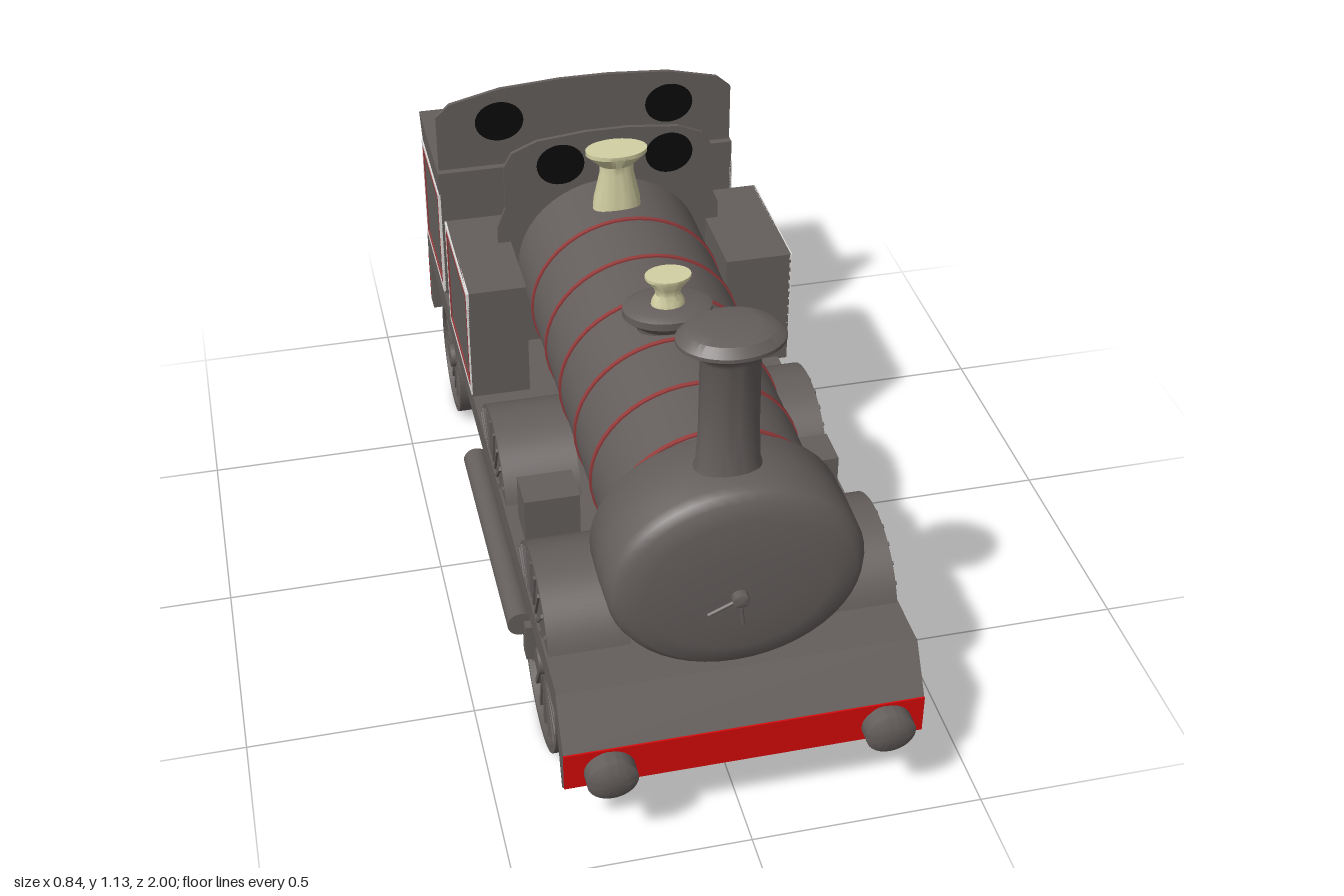
import * as THREE from 'three';
import { mergeGeometries, toCreasedNormals } from 'three/addons/utils/BufferGeometryUtils.js';

const flat = (name, color, side = THREE.FrontSide) => {
  const m = new THREE.MeshStandardMaterial({ color, side });
  m.name = name;
  return m;
};

export function createModel() {
  const grey = flat('warm grey', 0x645e5c);
  const red = flat('beam red', 0xd40b0b);
  const cream = flat('cream', 0xd2cfa2);
  const white = flat('white lining', 0xe2e0de);
  const lining = flat('dull red lining', 0x963c3c);
  const black = flat('window black', 0x0a0a0a, THREE.DoubleSide);

  const model = new THREE.Group();
  const add = (name, geo, mat = grey, x = 0, y = 0, z = 0) => {
    const mesh = new THREE.Mesh(geo, mat);
    mesh.name = name;
    mesh.position.set(x, y, z);
    model.add(mesh);
    return mesh;
  };
  // box from minimum and maximum corners
  const box = (name, x0, x1, y0, y1, z0, z1, mat) =>
    add(name, new THREE.BoxGeometry(x1 - x0, y1 - y0, z1 - z0), mat, (x0 + x1) / 2, (y0 + y1) / 2, (z0 + z1) / 2);
  // turned part from [radius, height] pairs, widened across x
  const turned = (pts, sx = 1, segs = 40) => toCreasedNormals(
    new THREE.LatheGeometry(pts.map(p => new THREE.Vector2(p[0], p[1])), segs).scale(sx, 1, 1), 0.6);
  const turnedZ = (pts, sx) => turned(pts, 1, 48).rotateX(Math.PI / 2).scale(sx, 1, 1);
  const poly = pts => new THREE.Shape(pts.map(p => new THREE.Vector2(p[0], p[1])));
  // shape drawn in (z, y), extruded from x0 to x1
  const extrudeX = (shape, x0, x1) => toCreasedNormals(
    new THREE.ExtrudeGeometry(shape, { depth: x1 - x0, bevelEnabled: false, curveSegments: 24 })
      .rotateY(-Math.PI / 2).translate(x1, 0, 0), 0.5);
  const rect = (a, b, c, d) => [[a, c], [b, c], [b, d], [a, d]];

  // boiler, bands and smokebox
  const axisY = 0.587;
  add('boiler', turnedZ([[0, -0.38], [0.213, -0.38], [0.213, 0.7], [0, 0.7]], 1.05), grey, 0, axisY);
  for (const z of [-0.183, -0.018, 0.148, 0.315, 0.48, 0.645])
    add('boilerBand', turnedZ([[0.211, z - 0.005], [0.217, z - 0.005], [0.217, z + 0.005], [0.211, z + 0.005]], 1.05),
      lining, 0, axisY);
  add('smokebox', turnedZ([[0, 0.66], [0.212, 0.66], [0.221, 0.675], [0.223, 0.76], [0.222, 0.835], [0.215, 0.853],
    [0.2, 0.866], [0.16, 0.875], [0.08, 0.88], [0, 0.881]], 1.19), grey, -0.005, 0.59);
  add('doorHub', turnedZ([[0, 0.87], [0.015, 0.87], [0.015, 0.9], [0, 0.905]], 1.15), grey, -0.01, 0.57);
  for (const [dx, dy] of [[-0.066, -0.03], [0.006, -0.066]]) {
    const path = new THREE.LineCurve3(new THREE.Vector3(0, 0, 0), new THREE.Vector3(dx, dy, 0));
    add('doorHandle', new THREE.TubeGeometry(path, 1, 0.004, 6), grey, -0.01, 0.57, 0.89);
  }

  // chimney, dome and valves
  add('chimney', turned([[0.062, 0.77], [0.05, 0.82], [0.047, 0.9], [0.046, 1.06], [0.052, 1.075], [0.083, 1.1],
    [0.083, 1.108], [0.068, 1.125], [0.045, 1.13], [0, 1.13]], 1.29), grey, -0.007, 0, 0.757);
  add('dome', turned([[0.05, 0.78], [0.052, 0.8], [0.075, 0.825], [0.075, 0.842], [0.06, 0.85], [0, 0.85]], 1.3),
    grey, -0.005, 0, 0.243);
  add('domeWhistle', turned([[0.028, 0.845], [0.026, 0.86], [0.02, 0.875], [0.022, 0.89], [0.037, 0.915],
    [0.037, 0.922], [0, 0.922]], 1.35), cream, -0.005, 0, 0.247);
  add('safetyValve', turned([[0.036, 0.78], [0.034, 0.82], [0.025, 0.885], [0.025, 0.905], [0.045, 0.935],
    [0.045, 0.945], [0, 0.945]], 1.6), cream, -0.005, 0, -0.263);

  // footplate and underframe
  box('footplate', -0.378, 0.375, 0.305, 0.366, -0.935, 0.865);
  box('underframe', -0.29, 0.29, 0.15, 0.306, -0.84, 0.03);
  box('ashpan', -0.095, 0.135, 0.12, 0.151, -0.1, 0.1);
  add('frontApron', extrudeX(poly([[0.865, 0.366], [0.86, 0.31], [0.912, 0.155], [0.933, 0.175], [0.933, 0.265]]),
    -0.38, 0.377));
  box('frontBeam', -0.38, 0.377, 0.175, 0.265, 0.931, 0.937, red);
  box('rearBeam', -0.378, 0.375, 0.155, 0.306, -0.937, -0.89);
  box('rearBeamFace', -0.378, 0.375, 0.158, 0.303, -0.942, -0.936, red);
  for (const x of [-0.29, 0.29]) {
    add('frontBuffer', turnedZ([[0.03, 0.925], [0.03, 0.95], [0.048, 0.955], [0.048, 0.988], [0.03, 0.998], [0, 1]], 1.1),
      grey, x, 0.23);
    add('rearBuffer', turnedZ([[0, -1], [0.03, -0.998], [0.042, -0.99], [0.042, -0.97], [0.028, -0.965], [0.028, -0.93]], 1.15),
      grey, x, 0.22);
  }

  // spoked wheels
  const spokes = (n, from, to, width, depth, a0, step) => mergeGeometries(Array.from({ length: n }, (_, i) =>
    new THREE.BoxGeometry(depth, to - from, width).translate(0, (from + to) / 2, 0).rotateX(a0 + i * step)));
  const wheel = (name, side, r, z, n) => {
    const ring = new THREE.Shape().absarc(0, 0, r, 0, Math.PI * 2);
    ring.holes.push(new THREE.Path().absarc(0, 0, r - 0.014, 0, Math.PI * 2, true));
    const cx = side * 0.328, face = side * 0.345;
    add(name + 'Rim', extrudeX(ring, -0.038, 0.038), grey, cx, r + 0.003, z);
    add(name + 'Spokes', spokes(n, 0.015, r - 0.008, 0.011, 0.026, 0, Math.PI * 2 / n), grey, face, r + 0.003, z);
    add(name + 'Hub', new THREE.CylinderGeometry(0.03, 0.03, 0.05, 20).rotateZ(Math.PI / 2), grey, face, r + 0.003, z);
  };
  for (const s of [-1, 1]) {
    for (const z of [0.583, 0.083]) {
      wheel('drivingWheel', s, 0.198, z, 22);
      // splasher: circular segment above the footplate, with ribs on its face
      const a = Math.asin(0.06 / 0.18);
      const arch = new THREE.Shape().absarc(z, 0.305, 0.18, a, Math.PI - a);
      add('splasher', extrudeX(arch, s > 0 ? 0.2 : -0.372, s > 0 ? 0.372 : -0.2));
      add('splasherRibs', spokes(9, 0.08, 0.172, 0.008, 0.006, -1, 0.25), grey, s * 0.374, 0.305, z);
    }
    wheel('trailingWheel', s, 0.148, -0.662, 22);
    const [x0, x1] = s > 0 ? [0.23, 0.352] : [-0.352, -0.23];
    box('sandBox', x0, x1, 0.36, 0.475, 0.293, 0.385);
  }
  // coupling rods, set a quarter turn apart
  for (const [x, y, z] of [[0.388, 0.15, 0.328], [-0.394, 0.273, 0.243]])
    add('couplingRod', new THREE.CylinderGeometry(0.029, 0.029, 0.595, 20).rotateX(Math.PI / 2), grey, x, y, z);
  for (const z of [0.583, 0.083]) {
    box('crank', 0.35, 0.385, 0.14, 0.215, z - 0.018, z + 0.018);
    box('crank', -0.388, -0.35, 0.19, 0.28, z - 0.055, z - 0.02);
  }

  // side tanks and bunker
  box('leftTank', 0.24, 0.397, 0.36, 0.657, -0.504, -0.172);
  box('rightTank', -0.378, -0.24, 0.36, 0.657, -0.504, -0.172);
  add('bunker', extrudeX(poly([[-0.632, 0.36], [-0.632, 0.715], [-0.965, 0.715], [-0.925, 0.66], [-0.925, 0.36]]), -0.375, 0.372));

  // white and red lining frames on the panels
  const frame = (z0, z1, y0, y1, inset, w) => {
    const f = (i) => rect(z0 + i, z1 - i, y0 + i, y1 - i);
    const shape = poly(f(inset));
    shape.holes.push(poly(f(inset + w).reverse()));
    return shape;
  };
  for (const [z0, z1, right, left] of [[-0.504, -0.172, -0.378, 0.397], [-0.924, -0.632, -0.375, 0.372]])
    for (const x of [right, left]) {
      add('whiteLining', extrudeX(frame(z0, z1, 0.372, 0.657, 0, 0.011), x - 0.003, x + 0.003), white);
      add('redLining', extrudeX(frame(z0, z1, 0.372, 0.657, 0.015, 0.009), x - 0.003, x + 0.003), lining);
    }

  // cab plates with round windows
  const plate = (name, half, z, windows, rx, wy) => {
    const pts = [...half, ...half.slice().reverse().map(([x, y]) => [-x, y])];
    add(name, new THREE.ExtrudeGeometry(poly(pts), { depth: 0.01, bevelEnabled: false }), grey, 0, 0, z - 0.005);
    for (const x of windows)
      add('cabWindow', new THREE.CylinderGeometry(1, 1, 0.016, 32).rotateX(Math.PI / 2).scale(rx, 0.052, 1), black, x, wy, z);
  };
  plate('frontCabPlate', [[0.27, 0.366], [0.27, 0.7], [0.25, 0.75], [0.25, 0.86], [0.23, 0.895], [0.17, 0.92], [0.05, 0.932]],
    -0.382, [-0.115, 0.147], 0.057, 0.853);
  plate('rearCabPlate', [[0.37, 0.6], [0.37, 0.862], [0.335, 0.893], [0.21, 0.922], [0.06, 0.932]],
    -0.655, [-0.215, 0.212], 0.06, 0.835);
  add('backhead', turnedZ([[0, -0.396], [0.2, -0.396], [0.2, -0.386]], 1.05), cream, 0, axisY);

  return model;
}
